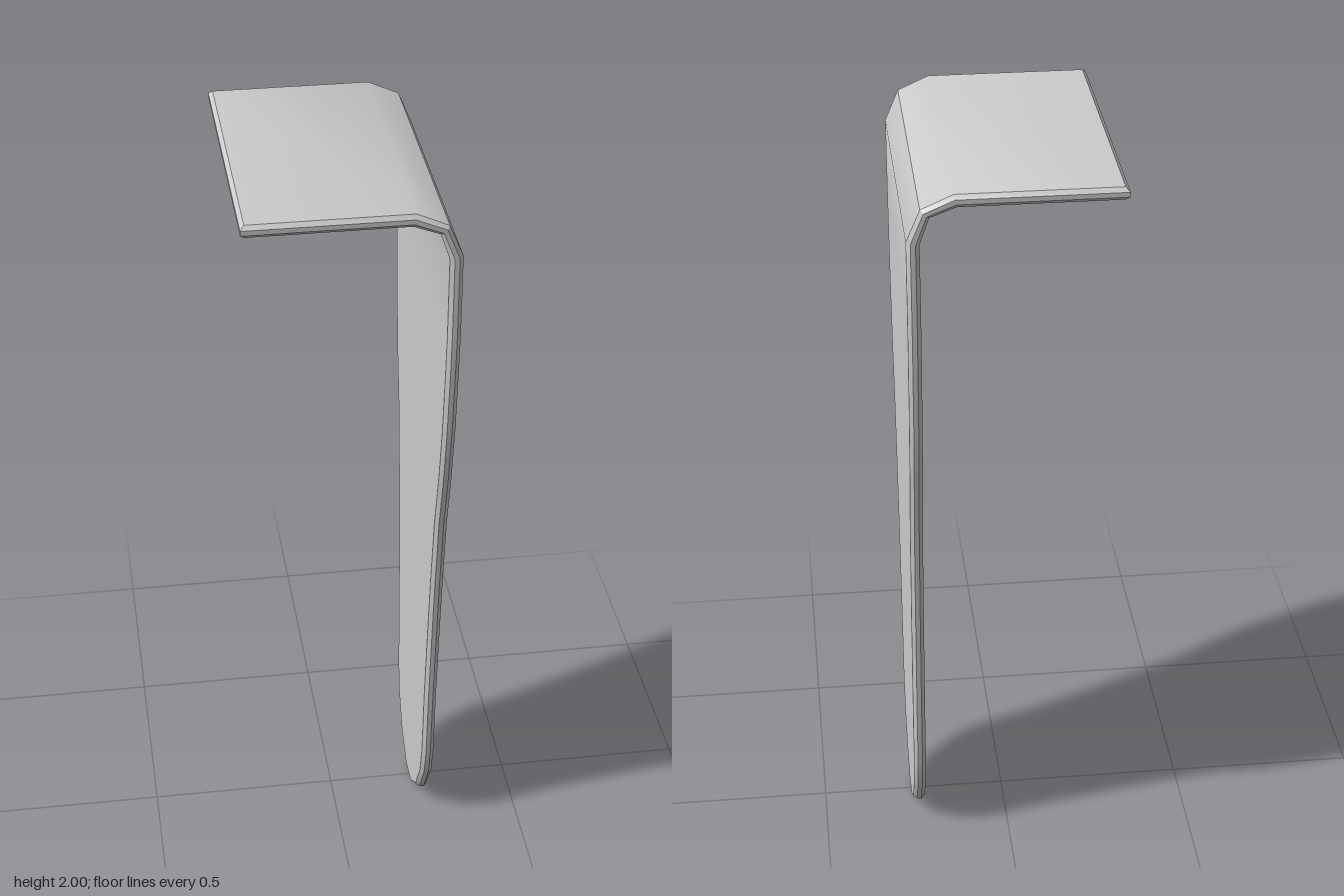
import * as THREE from 'three';
import { toCreasedNormals } from 'three/addons/utils/BufferGeometryUtils.js';

const CHAMFER = 0.01, THICKNESS = 0.032;

// Bend profile in x, y: distance along the strip, outer and inner surface
const bend = [
  { s: 0, outer: [0.258, 0], inner: [0.226, 0] },
  { s: 1.885, outer: [0.258, 1.885], inner: [0.226, 1.878] },
  { s: 1.97, outer: [0.224, 1.965], inner: [0.203, 1.944] },
  { s: 2.05, outer: [0.146, 2], inner: [0.139, 1.968] },
  { s: 2.454, outer: [-0.258, 2], inner: [-0.258, 1.968] },
];

// Half outline of the unbent plate: half width, distance along the strip
const outline = [
  [0.038, 0], [0.125, 0.06], [0.186, 0.165], [0.207, 0.255], [0.217, 0.46],
  [0.24, 0.71], [0.258, 0.88], [0.285, 1.08], [0.322, 1.235], [0.348, 1.39],
  [0.365, 1.57], [0.372, 1.68], [0.372, 1.885], [0.372, 1.97], [0.372, 2.05], [0.372, 2.454],
].map(([w, s]) => new THREE.Vector2(w, s));

// Outline moved inwards by the chamfer, with mitred corners
function inset(points, d) {
  const mirror = (p) => new THREE.Vector2(-p.x, p.y);
  const last = points.length - 1;
  return points.map((p, i) => {
    const a = p.clone().sub(i ? points[i - 1] : mirror(p)).normalize();
    const b = (i < last ? points[i + 1] : mirror(p)).clone().sub(p).normalize();
    const n = new THREE.Vector2(-a.y - b.y, a.x + b.x);
    return p.clone().addScaledVector(n, d / (1 + a.dot(b)));
  });
}

// Point on the bent plate, depth 0 = outer surface, 1 = inner surface
function place(w, s, depth) {
  let i = 0;
  while (i < bend.length - 2 && s > bend[i + 1].s) i++;
  const a = bend[i], b = bend[i + 1], t = (s - a.s) / (b.s - a.s);
  const { lerp } = THREE.MathUtils;
  const at = (k) => lerp(lerp(a.outer[k], b.outer[k], t), lerp(a.inner[k], b.inner[k], t), depth);
  return [at(0), at(1), w];
}

function plateGeometry() {
  const face = inset(outline, CHAMFER);
  const c = CHAMFER / THICKNESS;
  const positions = [], index = [];
  const quad = (a, b, d, e) => index.push(a, b, d, a, d, e);

  // Eight-sided chamfered cross-sections
  outline.forEach((edge, i) => {
    const half = [[face[i], 0], [edge, c], [edge, 1 - c], [face[i], 1]];
    half.forEach(([p, d]) => positions.push(...place(p.x, p.y, d)));
    half.reverse().forEach(([p, d]) => positions.push(...place(-p.x, p.y, d)));
  });

  // Skin between neighbouring cross-sections
  for (let i = 0; i < outline.length - 1; i++) {
    for (let j = 0; j < 8; j++) {
      const a = i * 8 + j, b = i * 8 + ((j + 1) % 8);
      quad(b, a, a + 8, b + 8);
    }
  }

  // Chamfered ends: rounded tip and free edge of the flange
  const end = (outline.length - 1) * 8;
  for (let j = 0; j < 3; j++) {
    quad(j, j + 1, 6 - j, 7 - j);
    quad(end + 7 - j, end + 6 - j, end + j + 1, end + j);
  }

  const geometry = new THREE.BufferGeometry();
  geometry.setAttribute('position', new THREE.Float32BufferAttribute(positions, 3));
  geometry.setIndex(index);
  return toCreasedNormals(geometry, Math.PI / 6);
}

export function createModel() {
  const model = new THREE.Group();
  model.name = 'bentBracket';
  const plate = new THREE.Mesh(plateGeometry(), new THREE.MeshStandardMaterial({ color: 0xcccccc }));
  plate.name = 'bentPlate';
  model.add(plate);
  return model;
}
